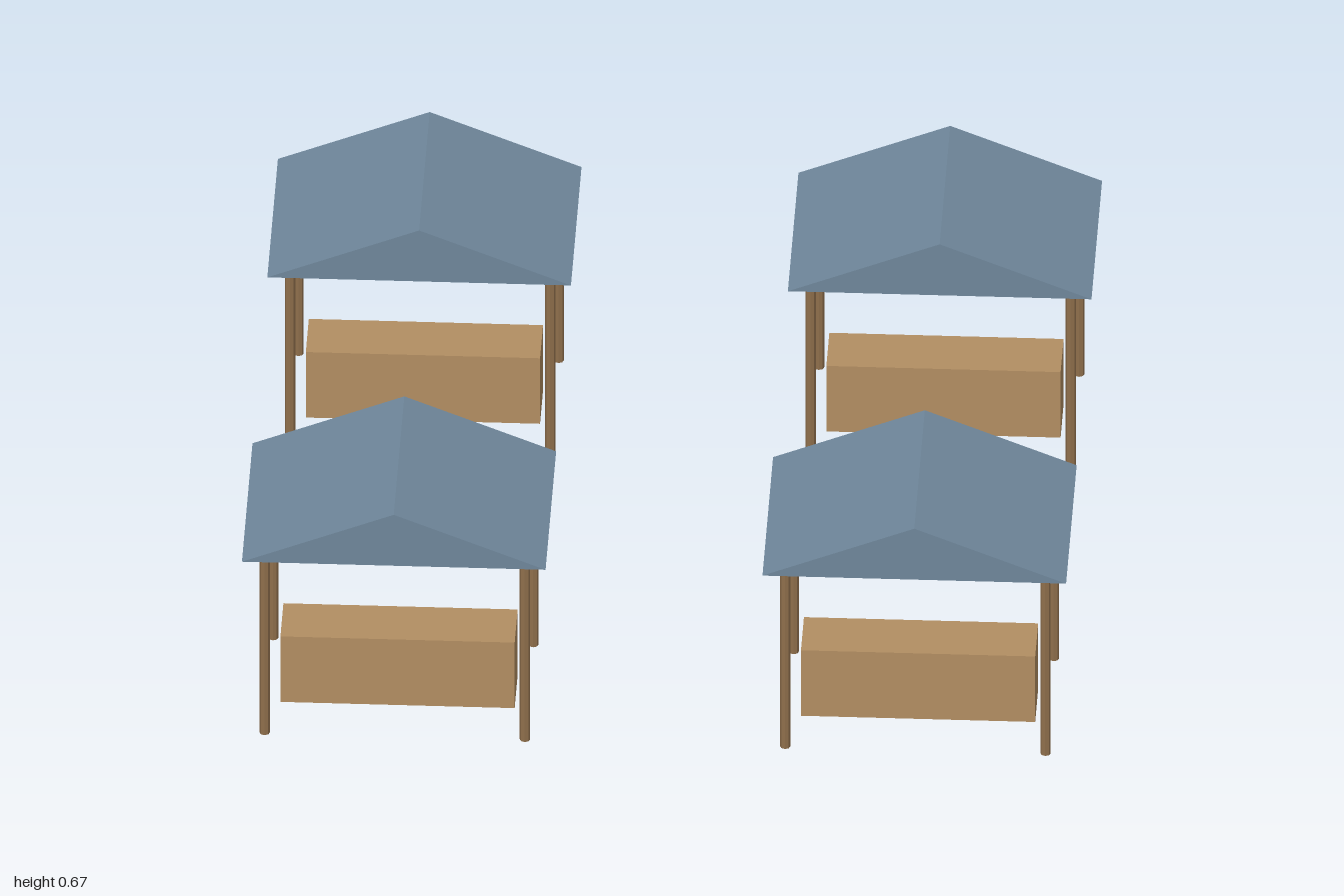
import * as THREE from 'three';

const U = 0.1054; // one module: stall posts stand on a 6 x 4 module plan

const wood = new THREE.MeshStandardMaterial({ color: 0x8f6f4c, flatShading: true });
const counterWood = new THREE.MeshStandardMaterial({ color: 0xb28e62 });
const roofing = new THREE.MeshStandardMaterial({ color: 0x6f879b });

function add(parent, name, geometry, material, x, y, z) {
  const mesh = new THREE.Mesh(geometry, material);
  mesh.name = name;
  mesh.position.set(x, y, z);
  parent.add(mesh);
}

// Solid gable roof: triangle across x, extruded along z and centred
function gableRoof(width, height, depth) {
  const gable = new THREE.Shape();
  gable.moveTo(-width / 2, 0);
  gable.lineTo(width / 2, 0);
  gable.lineTo(0, height);
  gable.closePath();
  return new THREE.ExtrudeGeometry(gable, { depth, bevelEnabled: false }).translate(0, 0, -depth / 2);
}

export function createModel() {
  const model = new THREE.Group();
  model.name = 'marketStalls';

  const postGeo = new THREE.CylinderGeometry(0.12 * U, 0.12 * U, 5 * U, 8);
  const counterGeo = new THREE.BoxGeometry(5.4 * U, 1.8 * U, 1.4 * U);
  const roofGeo = gableRoof(7 * U, 1.4 * U, 5 * U);

  for (const sx of [-1, 1]) {
    for (const sz of [-1, 1]) {
      const stall = new THREE.Group();
      stall.name = `${sz > 0 ? 'front' : 'back'}${sx > 0 ? 'Left' : 'Right'}Stall`;
      stall.position.set(sx * 6 * U, 0, sz * 6 * U);

      // Four corner posts
      for (const px of [-3, 3]) {
        for (const pz of [-2, 2]) add(stall, 'post', postGeo, wood, px * U, 2.5 * U, pz * U);
      }
      add(stall, 'counter', counterGeo, counterWood, 0, 0.9 * U, 0);
      add(stall, 'roof', roofGeo, roofing, 0, 5 * U, 0);
      model.add(stall);
    }
  }
  return model;
}
